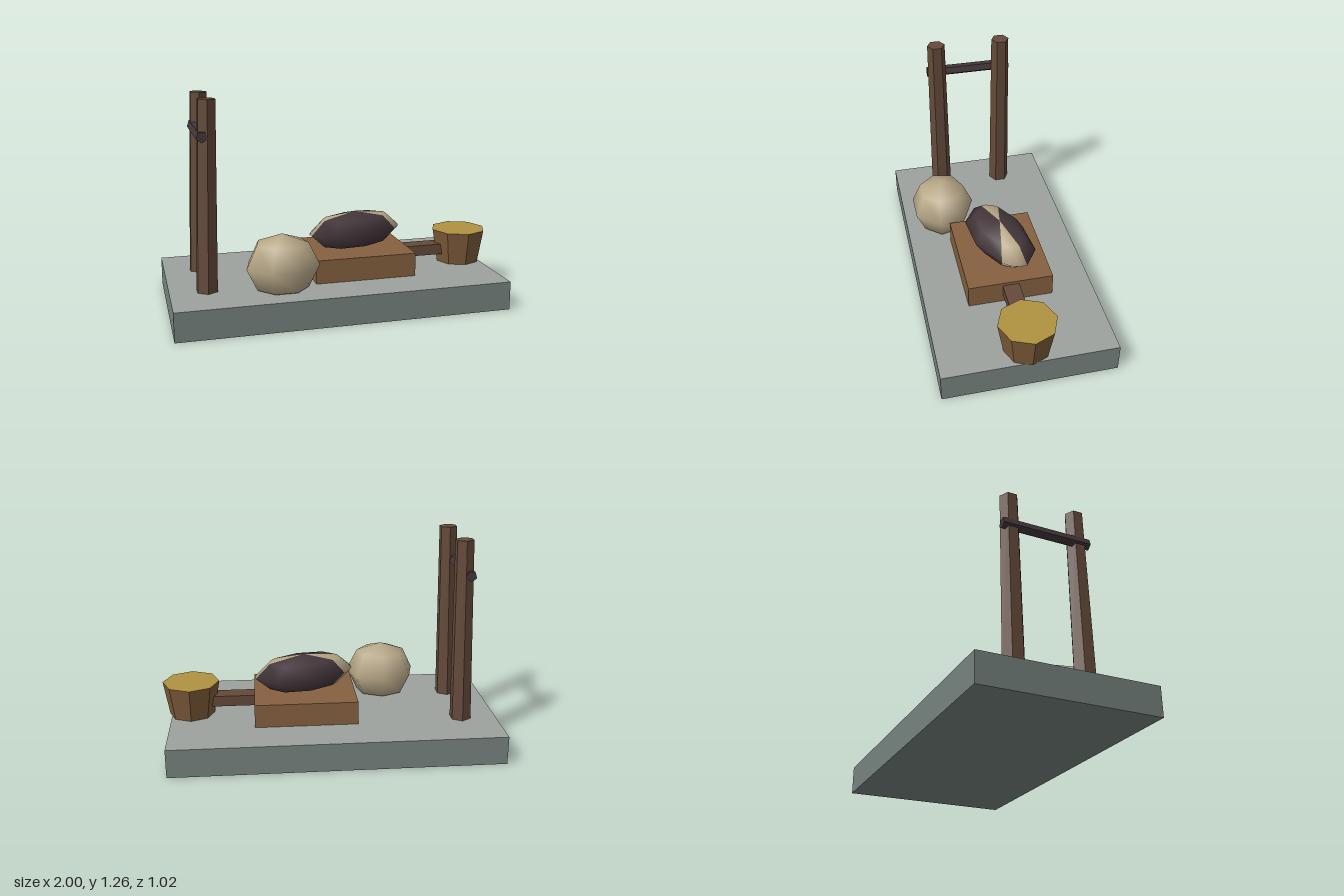
import * as THREE from 'three';

function mat(name, color, flatShading = false) {
  const m = new THREE.MeshStandardMaterial({ color, flatShading });
  m.name = name;
  return m;
}

export function createModel() {
  const group = new THREE.Group();
  const stoneSide = mat('stoneSide', 0x76827e);
  const stoneTop = mat('stoneTop', 0x9ca29e);
  const blockWood = mat('blockWood', 0x85603f);
  const postWood = mat('postWood', 0x644a3a, true);
  const bucketWood = mat('bucketWood', 0x7d5a39, true);
  const gold = mat('gold', 0xb09340, true);
  const dark = mat('dark', 0x43363a, true);
  const darkSmooth = mat('darkShell', 0x43363a);
  const cream = mat('cream', 0xb8a888);

  function add(name, geometry, material, x, y, z, parent = group) {
    const mesh = new THREE.Mesh(geometry, material);
    mesh.name = name;
    mesh.position.set(x, y, z);
    parent.add(mesh);
    return mesh;
  }

  // Stone slab with a paler upper face
  add('slab', new THREE.BoxGeometry(1.95, 0.17, 1.02),
    [stoneSide, stoneSide, stoneTop, stoneSide, stoneSide, stoneSide], -0.025, 0.085, 0);

  // Two slightly leaning, tapered hexagonal posts
  for (const side of [-1, 1]) {
    const post = add(side > 0 ? 'frontPost' : 'backPost',
      new THREE.CylinderGeometry(0.055, 0.065, 1.09, 6), postWood, -0.772, 0.715, side * 0.205);
    post.rotation.z = -0.027;
  }

  // Five-sided rail across the posts
  const rail = add('crossRail', new THREE.CylinderGeometry(0.033, 0.033, 0.53, 5),
    dark, -0.793, 1.058, 0);
  rail.rotation.x = Math.PI / 2;

  // Faceted round boulder, sunk a little into the slab
  const ball = new THREE.SphereGeometry(1, 7, 4);
  ball.rotateY(-Math.PI / 2);
  ball.scale(0.217, 0.185, 0.2);
  add('boulder', ball, cream, -0.365, 0.31, 0.27);

  // Wooden block and its handle
  add('block', new THREE.BoxGeometry(0.61, 0.14, 0.51), blockWood, 0.145, 0.24, 0);
  add('handle', new THREE.BoxGeometry(0.3, 0.065, 0.1), postWood, 0.58, 0.258, 0);

  // Long dark shell with one cream wedge at each end
  const shell = new THREE.Group();
  shell.name = 'shell';
  shell.position.set(0.145, 0.415, 0);
  shell.rotation.y = 0.32;
  group.add(shell);
  for (const k of [0, 1]) {
    const start = k * Math.PI, split = start + Math.PI * 0.75;
    const side = new THREE.SphereGeometry(1, 3, 4, start, Math.PI * 0.75);
    const wedge = new THREE.SphereGeometry(1, 1, 4, split, Math.PI * 0.25);
    for (const g of [side, wedge]) g.scale(0.31, 0.115, 0.165);
    add('shellSide', side, darkSmooth, 0, 0, 0, shell);
    add('shellWedge', wedge, cream, 0, 0, 0, shell);
  }

  // Eight-sided tub with a golden top
  add('tub', new THREE.CylinderGeometry(0.17, 0.135, 0.205, 8),
    [bucketWood, gold, bucketWood], 0.83, 0.2725, 0);

  return group;
}
